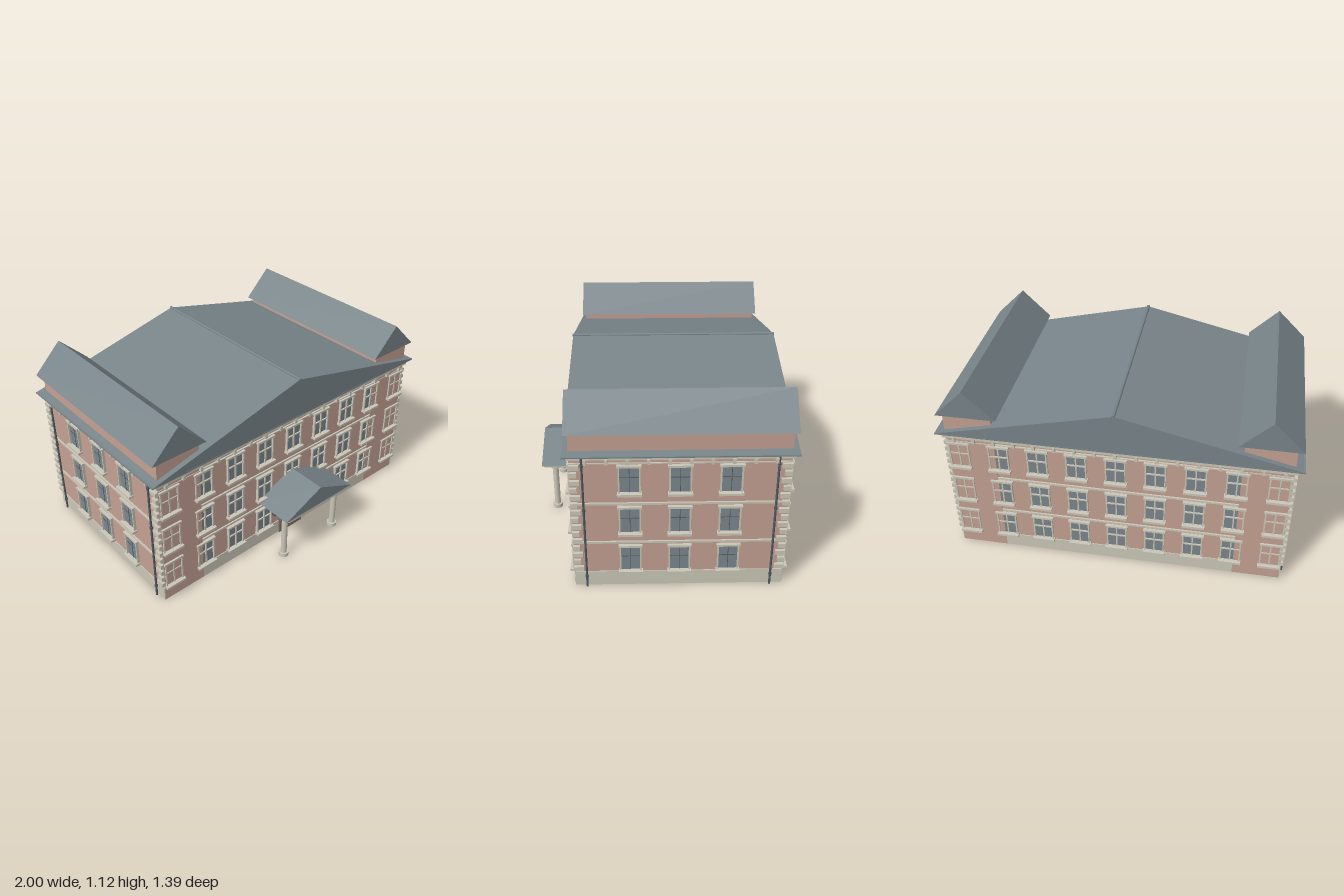
import * as THREE from 'three';

const mat = (name, color, side = THREE.FrontSide) => {
  const m = new THREE.MeshStandardMaterial({ color, side });
  m.name = name;
  return m;
};

export function createModel() {
  const M = {
    wall: mat('pink render', 0xc4a092),
    stone: mat('cream stone', 0xcac6b8),
    slate: mat('slate', 0x788489),
    glass: mat('window glass', 0x7a868c),
    door: mat('door brown', 0x82706a),
    iron: mat('dark iron', 0x4e5a61),
  };
  const root = new THREE.Group();
  root.name = 'building';

  const group = (name, parent) => {
    const g = new THREE.Group();
    g.name = name;
    parent.add(g);
    return g;
  };
  const add = (parent, name, geo, m, x = 0, y = 0, z = 0) => {
    const mesh = new THREE.Mesh(geo, m);
    mesh.name = name;
    mesh.position.set(x, y, z);
    parent.add(mesh);
    return mesh;
  };
  // Box given by its min and max on each axis
  const box = (parent, name, m, x0, x1, y0, y1, z0, z1) =>
    add(parent, name, new THREE.BoxGeometry(x1 - x0, y1 - y0, z1 - z0), m,
      (x0 + x1) / 2, (y0 + y1) / 2, (z0 + z1) / 2);
  const cyl = (parent, name, m, r, x, y0, y1, z, n = 16) =>
    add(parent, name, new THREE.CylinderGeometry(r, r, y1 - y0, n), m, x, (y0 + y1) / 2, z);
  // Triangular roof prism running along z
  const gable = (parent, name, x, half, y0, y1, z0, z1) => {
    const s = new THREE.Shape();
    s.moveTo(-half, y0);
    s.lineTo(half, y0);
    s.lineTo(0, y1);
    s.closePath();
    const g = new THREE.ExtrudeGeometry(s, { depth: z1 - z0, bevelEnabled: false });
    return add(parent, name, g, M.slate, x, 0, z0);
  };

  const HD = 0.562;           // half depth of the wings
  const CZ = -0.1;            // centre of the building in z
  const HX = 0.95;            // half width of the walls
  const floors = [0.18, 0.427, 0.677];

  const house = group('house', root);
  house.position.z = CZ;

  // Walls, plinth and end wings
  box(house, 'mainWalls', M.wall, -HX + 0.002, HX - 0.002, 0.01, 0.83, -0.555, 0.555);
  box(house, 'plinth', M.stone, -0.955, 0.955, 0, 0.09, -0.56, 0.56);
  for (const s of [-1, 1]) {
    const w = box(house, 'endWing', M.wall, 0.68, HX, 0.002, 0.94, -HD, HD);
    w.position.x *= s;
  }

  // Framed window facing +z, standing on a wall at z = 0
  const windowUnit = (parent, x, y, z, bars) => {
    const g = group('window', parent);
    g.position.set(x, y, z);
    const w = 0.052, h = 0.078;
    box(g, 'pane', M.glass, -w, w, -h, h, -0.004, 0.003);
    for (const s of [-1, 1]) {
      const j = box(g, 'jamb', M.stone, w - 0.002, w + 0.006, -h, h, -0.002, 0.014);
      j.position.x *= s;
    }
    box(g, 'lintel', M.stone, -0.064, 0.064, h - 0.002, h + 0.01, -0.002, 0.018);
    box(g, 'sill', M.stone, -0.064, 0.064, -h - 0.012, -h + 0.002, -0.002, 0.03);
    if (bars) {
      box(g, 'mullion', M.stone, -0.004, 0.004, -h, h, 0, 0.011);
      box(g, 'transom', M.stone, -w, w, 0.008, 0.015, 0, 0.011);
    } else {
      box(g, 'glazingBar', M.iron, -0.0015, 0.0015, -h, h, 0, 0.005);
      box(g, 'glazingBar', M.iron, -w, w, 0.011, 0.014, 0, 0.005);
    }
  };

  // Long facades, front and back
  const columns = [-0.885, -0.66, -0.44, -0.22, 0, 0.22, 0.44, 0.66, 0.885];
  for (const front of [true, false]) {
    const f = group(front ? 'frontFacade' : 'backFacade', house);
    if (!front) f.rotation.y = Math.PI;
    floors.forEach((y, i) => columns.forEach(x => {
      if (!(front && i === 0 && x === 0)) windowUnit(f, x, y, 0.556, true);
    }));
    for (const y of [0.285, 0.53])
      box(f, 'stringCourse', M.stone, -0.68, 0.68, y - 0.006, y + 0.006, 0.55, 0.564);
    for (let i = -8; i <= 8; i++)
      box(f, 'corniceBlock', M.stone, i * 0.113 - 0.008, i * 0.113 + 0.008, 0.775, 0.805, 0.55, 0.578);
  }

  // Short side facades with drain pipes
  for (const s of [-1, 1]) {
    const f = group('sideFacade', house);
    f.rotation.y = s * Math.PI / 2;
    for (const y of floors)
      for (const z of [0.26, 0, -0.26]) windowUnit(f, -s * z, y, HX + 0.001, false);
    for (const y of [0.285, 0.53])
      box(f, 'stringCourse', M.stone, -0.555, 0.555, y - 0.006, y + 0.006, 0.945, 0.959);
    for (let i = -4; i <= 5; i++) {
      const x = (i - 0.5) * 0.107;
      box(f, 'corniceBlock', M.stone, x - 0.008, x + 0.008, 0.775, 0.805, 0.94, 0.975);
    }
    for (const z of [0.497, -0.493]) {
      cyl(f, 'drainPipe', M.iron, 0.006, -s * z, 0, 0.81, 0.966, 10);
      for (const y of [0.07, 0.5, 0.77])
        cyl(f, 'pipeCollar', M.iron, 0.009, -s * z, y - 0.006, y + 0.006, 0.966, 10);
    }
  }

  // Corner stones, alternately long and short
  for (const sx of [-1, 1]) for (const sz of [-1, 1]) {
    const q = group('cornerStones', house);
    for (let i = 0; i < 15; i++) {
      const y = 0.105 + i * 0.0455, d = i % 2 ? 0.036 : 0.05;
      const b = box(q, 'cornerStone', M.stone, HX - 0.006, 0.968, y, y + 0.026, HD - d, HD + 0.002);
      b.position.x *= sx;
      b.position.z *= sz;
    }
  }

  // Cornice and roofs
  box(house, 'cornice', M.stone, -0.968, 0.968, 0.8, 0.832, -0.575, 0.575);
  box(house, 'architrave', M.stone, -0.956, 0.956, 0.77, 0.776, -0.565, 0.565);
  box(house, 'eaves', M.slate, -1, 1, 0.83, 0.837, -0.593, 0.593);
  gable(house, 'mainRoof', 0, 0.995, 0.836, 1.072, -0.592, 0.592);
  const ridge = cyl(house, 'ridgeCap', M.slate, 0.009, 0, -0.595, 0.595, 0, 10);
  ridge.rotation.x = Math.PI / 2;
  ridge.position.y = 1.072;
  for (const s of [-1, 1]) gable(house, 'wingRoof', s * 0.815, 0.17, 0.952, 1.12, -0.58, 0.58);

  // Entrance porch
  const porch = group('porch', root);
  gable(porch, 'porchRoof', 0, 0.265, 0.328, 0.447, 0.455, 0.7);
  box(porch, 'porchBeam', M.stone, -0.235, 0.235, 0.302, 0.329, 0.455, 0.69);
  for (const s of [-1, 1]) {
    const x = s * 0.205, z = 0.625;
    cyl(porch, 'column', M.stone, 0.018, x, 0, 0.3, z, 20);
    cyl(porch, 'columnBase', M.stone, 0.029, x, 0, 0.024, z, 20);
    cyl(porch, 'columnCapital', M.stone, 0.026, x, 0.286, 0.303, z, 20);
    box(porch, 'wallLamp', M.iron, s * 0.136 - 0.012, s * 0.136 + 0.012, 0.163, 0.207, 0.455, 0.48);
  }

  // Double door under a round arch
  const door = group('entranceDoor', root);
  box(door, 'doorLeaf', M.door, -0.094, 0.094, 0, 0.222, 0.45, 0.469);
  for (const s of [-1, 1]) {
    box(door, 'doorPanel', M.glass, s * 0.047 - 0.044, s * 0.047 + 0.044, 0.085, 0.218, 0.466, 0.473);
    box(door, 'doorHandle', M.stone, s * 0.012 - 0.003, s * 0.012 + 0.003, 0.095, 0.125, 0.47, 0.48);
  }
  const arch = new THREE.Shape();
  arch.absarc(0, 0, 0.115, 0, Math.PI, false);
  arch.absarc(0, 0, 0.096, Math.PI, 0, true);
  arch.closePath();
  const archGeo = new THREE.ExtrudeGeometry(arch, { depth: 0.028, bevelEnabled: false, curveSegments: 20 });
  archGeo.scale(1, 0.66, 1);
  add(door, 'doorArch', archGeo, M.stone, 0, 0.222, 0.453);

  return root;
}
